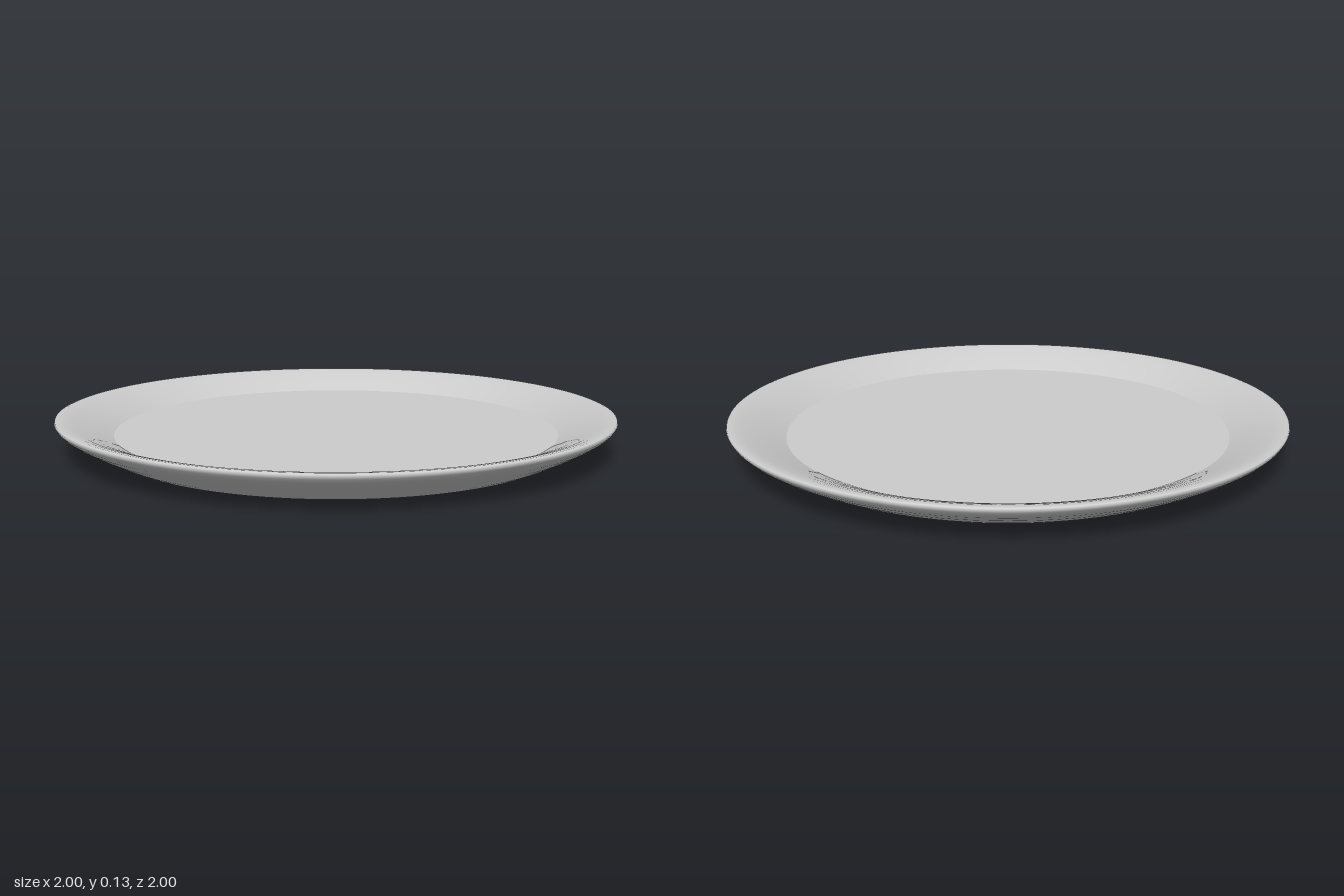
import * as THREE from 'three';

export function createModel() {
  const group = new THREE.Group();
  group.name = 'plate';
  const material = new THREE.MeshStandardMaterial({ color: 0xcccccc });

  // Each surface is a profile [radius, height] turned about the y axis, running counter-clockwise
  const turn = (name, profile) => {
    const points = profile.map(([r, y]) => new THREE.Vector2(r, y));
    const mesh = new THREE.Mesh(new THREE.LatheGeometry(points, 128), material);
    mesh.name = name;
    group.add(mesh);
  };

  // Flat underside
  turn('base', [[0, 0], [0.8, 0]]);

  // Sloping outer wall, rounded lip and sloping inner wall
  turn('rim', [
    [0.8, 0], [0.82, 0.005], [0.86, 0.024], [0.92, 0.056], [0.965, 0.083],
    [0.985, 0.098], [0.996, 0.11], [1, 0.119], [0.997, 0.125], [0.988, 0.127],
    [0.97, 0.125], [0.945, 0.118], [0.9, 0.101], [0.85, 0.079], [0.8, 0.055],
  ]);

  // Flat eating surface
  turn('floor', [[0.8, 0.055], [0, 0.055]]);

  return group;
}
